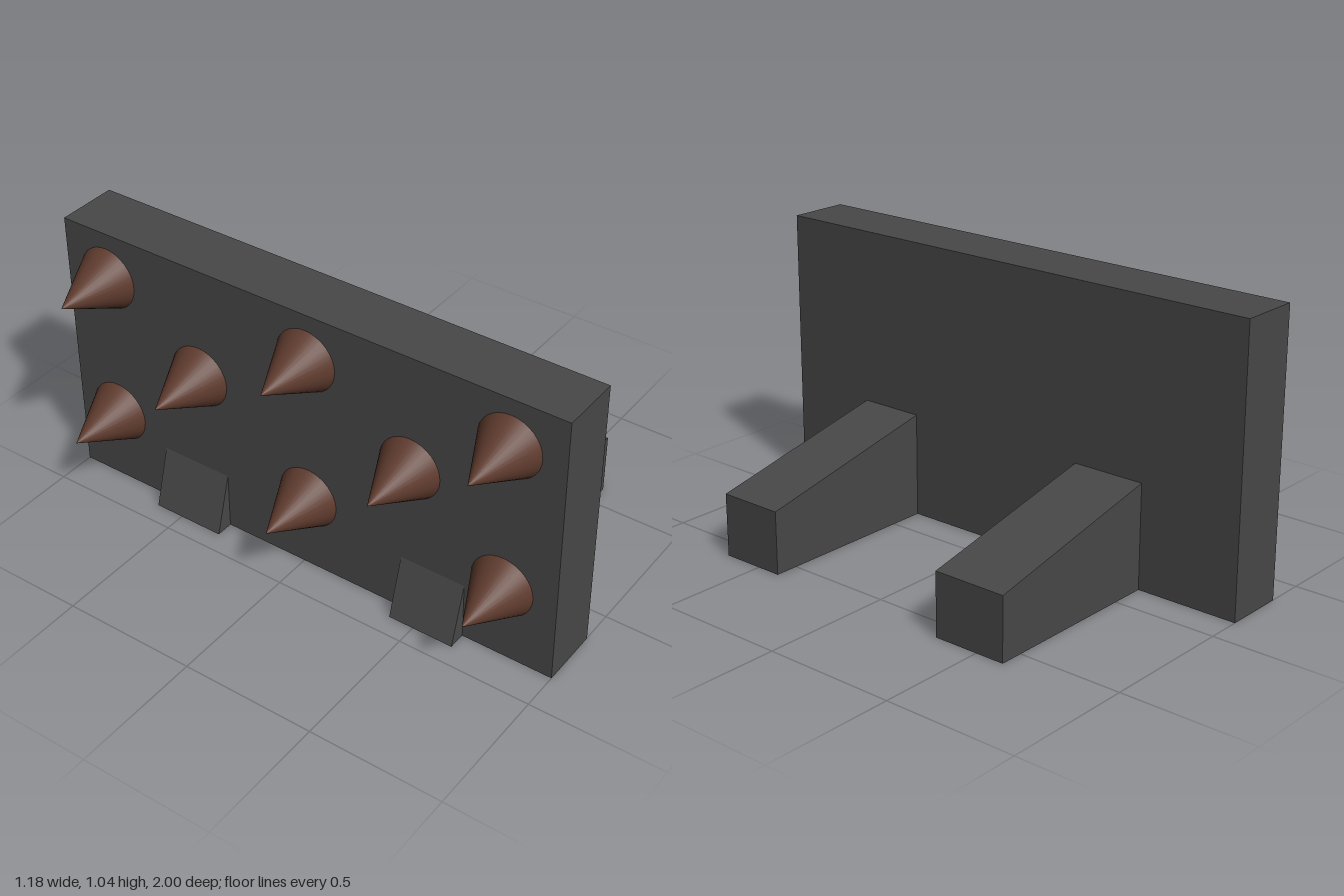
import * as THREE from 'three';

const stone = new THREE.MeshStandardMaterial({ color: 0x484848 });
const rust = new THREE.MeshStandardMaterial({ color: 0x5f3b2e });

const WALL_BACK = -0.357, WALL_FRONT = -0.127, HEIGHT = 1.04;

function addMesh(group, name, geometry, material) {
  const mesh = new THREE.Mesh(geometry, material);
  mesh.name = name;
  group.add(mesh);
  return mesh;
}

export function createModel() {
  const model = new THREE.Group();
  model.name = 'spikedBarricade';

  // Upright wall slab
  const wall = addMesh(model, 'wall', new THREE.BoxGeometry(WALL_FRONT - WALL_BACK, HEIGHT, 2), stone);
  wall.position.set((WALL_BACK + WALL_FRONT) / 2, HEIGHT / 2, 0);

  // Tapered feet that pass through the wall, with a sloping heel on the spiked side
  const profile = new THREE.Shape([
    [-0.423, 0], [0.588, 0], [0.588, 0.235], [WALL_FRONT, 0.39], [-0.295, 0.427],
  ].map(([x, y]) => new THREE.Vector2(x, y)));
  for (const [z0, z1] of [[-0.61, -0.33], [0.405, 0.655]]) {
    const geometry = new THREE.ExtrudeGeometry(profile, { depth: z1 - z0, bevelEnabled: false });
    addMesh(model, 'foot', geometry, stone).position.z = z0;
  }

  // Spikes: outer and middle columns carry two, the columns between carry one
  const length = 0.235;
  const spikeGeometry = new THREE.ConeGeometry(0.117, length, 32).rotateZ(Math.PI / 2);
  const columns = [
    [-0.82, [0.295, 0.863]],
    [-0.432, [0.61]],
    [0.022, [0.295, 0.863]],
    [0.432, [0.61]],
    [0.795, [0.295, 0.863]],
  ];
  for (const [z, heights] of columns) {
    for (const y of heights) {
      addMesh(model, 'spike', spikeGeometry, rust).position.set(WALL_BACK - length / 2, y, z);
    }
  }

  return model;
}
